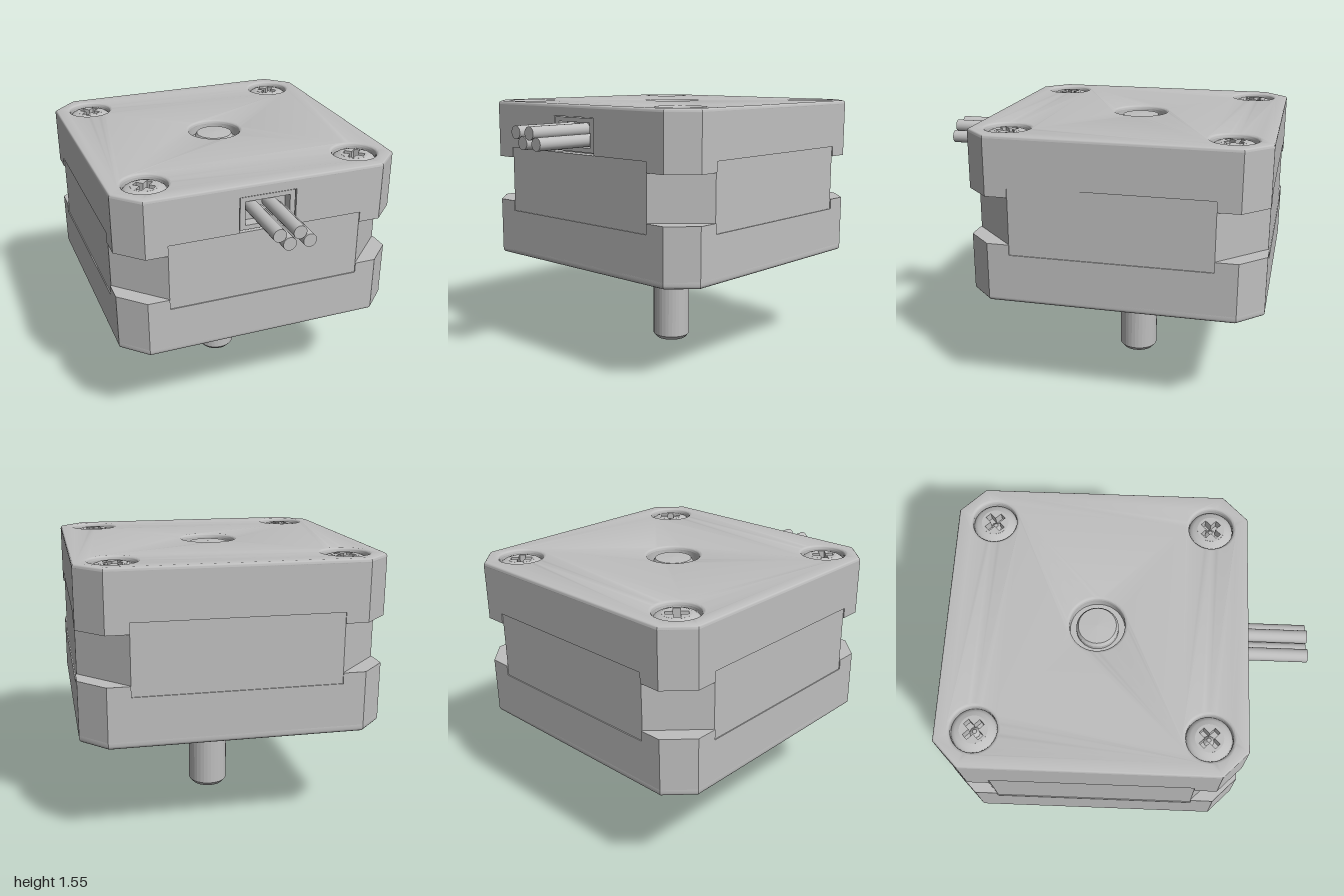
import * as THREE from 'three';
import { toCreasedNormals } from 'three/addons/utils/BufferGeometryUtils.js';

const steel = new THREE.MeshStandardMaterial({ color: 0xbfbfbf });
steel.name = 'steelGrey';

const HALF = 0.83, SCREW = 0.62;
const corners = [[-1, -1], [1, -1], [1, 1], [-1, 1]];

// Square outline with cut corners; an indent (half width w, depth d) may sit on the first n sides
function outline(h, cut, w = 0, d = 0, n = 0) {
  const pts = [];
  for (let i = 0; i < 4; i++) {
    const side = [[-h + cut, -h]];
    if (i < n) side.push([-w, -h], [-w, -h + d], [w, -h + d], [w, -h]);
    side.push([h - cut, -h]);
    for (const [x, y] of side) {
      pts.push(new THREE.Vector2(x, y).rotateAround(new THREE.Vector2(), i * Math.PI / 2));
    }
  }
  return new THREE.Shape(pts);
}

function addHoles(shape, screwR, centreR) {
  const hole = (x, y, r) => shape.holes.push(new THREE.Path().absarc(x, y, r, 0, Math.PI * 2, true));
  corners.forEach(([x, y]) => hole(x * SCREW, y * SCREW, screwR));
  hole(0, 0, centreR);
  return shape;
}

// Upright extrusion from y0 to y1, optionally with rounded rims
function slab(name, shape, y0, y1, bevel = 0) {
  const geo = new THREE.ExtrudeGeometry(shape, {
    depth: y1 - y0 - 2 * bevel, curveSegments: 28, bevelEnabled: bevel > 0,
    bevelThickness: bevel, bevelSize: bevel, bevelOffset: -bevel, bevelSegments: 4,
  });
  geo.translate(0, 0, bevel).rotateX(-Math.PI / 2).translate(0, y0, 0);
  return mesh(name, toCreasedNormals(geo, 0.6));
}

function mesh(name, geo) {
  const m = new THREE.Mesh(geo, steel);
  m.name = name;
  return m;
}

// Faceted turned part
function turned(name, profile, sides = 32) {
  const geo = new THREE.LatheGeometry(profile.map(p => new THREE.Vector2(...p)), sides).toNonIndexed();
  geo.computeVertexNormals();
  return mesh(name, geo);
}

// Domed screw head with a cross-shaped socket
function screwHead() {
  const g = new THREE.Group();
  g.name = 'screw';
  const dome = new THREE.LatheGeometry(
    [[0.124, 1.48], [0.124, 1.508], [0.115, 1.52], [0.1, 1.53], [0.075, 1.538]].map(p => new THREE.Vector2(...p)), 32);
  g.add(mesh('screwDome', dome));
  const face = new THREE.Shape().absarc(0, 0, 0.0765, 0, Math.PI * 2);
  const a = 0.06, b = 0.018;
  const cross = [[b, a], [b, b], [a, b], [a, -b], [b, -b], [b, -a], [-b, -a], [-b, -b], [-a, -b], [-a, b], [-b, b], [-b, a]];
  face.holes.push(new THREE.Path(cross.map(p => new THREE.Vector2(...p).rotateAround(new THREE.Vector2(), Math.PI / 4))));
  g.add(slab('screwFace', face, 1.482, 1.538));
  // small cone in the socket floor
  g.add(turned('socketFloor', [[0.03, 1.481], [0.012, 1.5], [0, 1.5]], 8));
  return g;
}

function rect(w, y0, y1, Type = THREE.Shape) {
  return new Type([[-w, y0], [w, y0], [w, y1], [-w, y1]].map(p => new THREE.Vector2(...p)));
}

export function createModel() {
  const model = new THREE.Group();
  model.name = 'steppingMotor';
  const motor = new THREE.Group();
  motor.name = 'motor';
  motor.position.z = -0.17;
  model.add(motor);

  // Housing, stacked from bottom to top
  const full = () => outline(HALF, 0.14);
  const recessed = () => outline(HALF, 0.14, 0.565, 0.006, 4);
  motor.add(
    slab('lowerRim', addHoles(full(), 0.07, 0.155), 0.6, 0.66, 0.02),
    slab('lowerCap', addHoles(full(), 0.07, 0.155), 0.62, 0.88),
    slab('lowerCapLip', recessed(), 0.88, 0.94),
    slab('core', outline(HALF - 0.006, 0.259), 0.94, 1.21),
    slab('upperCapLip', recessed(), 1.21, 1.27),
    slab('upperCap', outline(HALF, 0.14, 0.165, 0.07, 1), 1.27, 1.48),
    slab('upperCapTop', addHoles(full(), 0.125, 0.152), 1.48, 1.53),
    slab('upperRim', addHoles(full(), 0.125, 0.152), 1.51, 1.55, 0.018),
  );

  // Screws in the top corners
  for (const [x, z] of corners) {
    const s = screwHead();
    s.position.set(x * SCREW, 0, z * SCREW);
    motor.add(s);
  }

  // Mounting boss and shaft
  motor.add(
    turned('boss', [[0.155, 0.62], [0.155, 0.525], [0.17, 0.505], [0.51, 0.505], [0.52, 0.515], [0.52, 0.61]]),
    turned('shaft', [[0, 0], [0.095, 0], [0.117, 0.025], [0.117, 1.51], [0.105, 1.53], [0, 1.535]]),
  );

  // Cable socket
  const frame = rect(0.16, 1.284, 1.476);
  frame.holes.push(rect(0.13, 1.31, 1.45, THREE.Path));
  const frameGeo = new THREE.ExtrudeGeometry(frame, { depth: 0.065, bevelEnabled: false });
  const socket = mesh('socketFrame', frameGeo);
  socket.position.z = HALF - 0.07;
  motor.add(socket);

  // Four wires
  for (const [x, y] of [[-0.085, 1.407], [0.028, 1.407], [-0.028, 1.351], [0.085, 1.351]]) {
    const wire = mesh('wire', new THREE.CylinderGeometry(0.037, 0.037, 0.42, 20).rotateX(Math.PI / 2));
    wire.position.set(x, y, 0.96);
    motor.add(wire);
  }
  return model;
}
